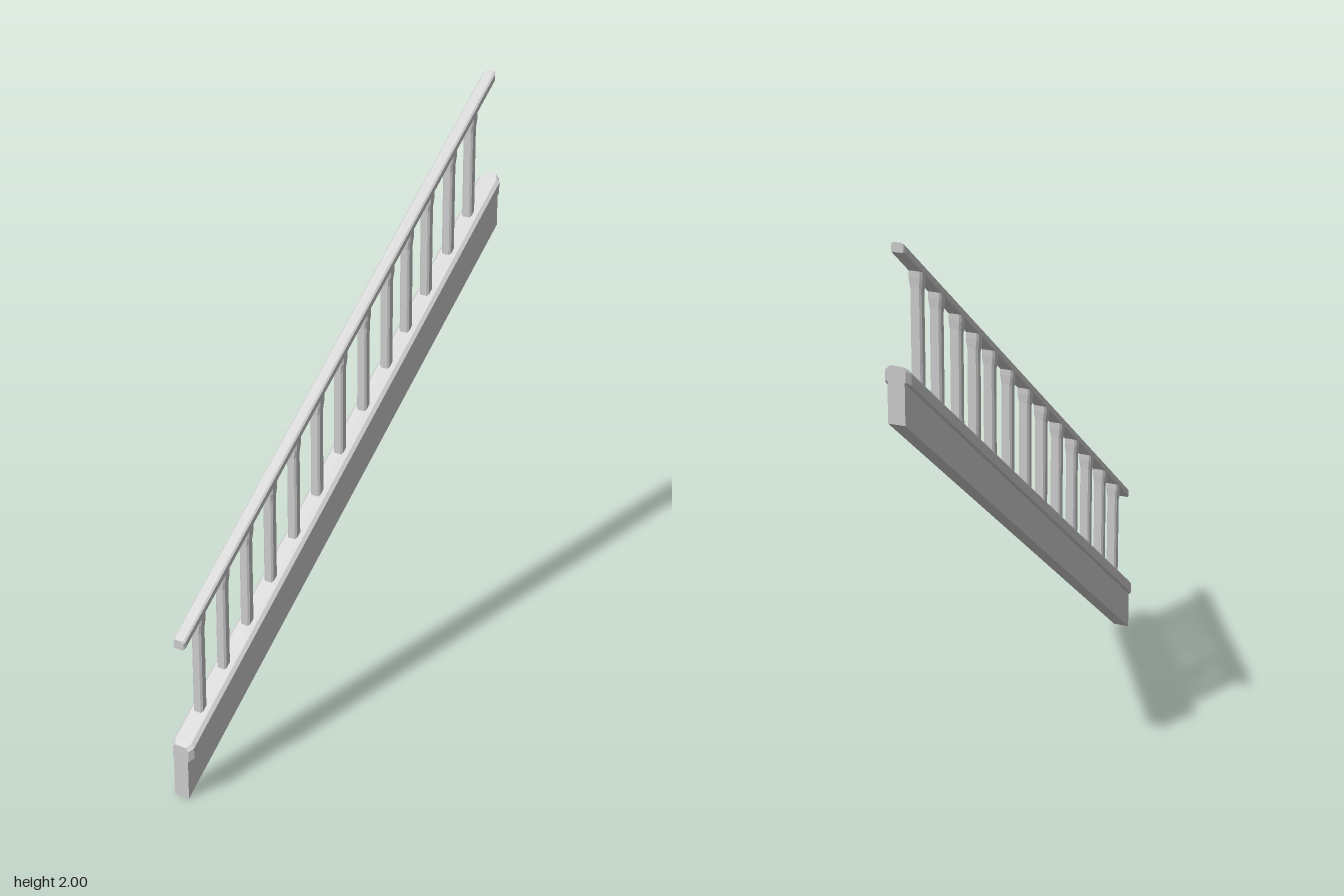
import * as THREE from 'three';

const material = new THREE.MeshStandardMaterial({ color: 0xcccccc, flatShading: true, side: THREE.DoubleSide });

// Rectangle with cut corners, counter-clockwise: half width, bottom, top, bottom cut, top cut
function outline(w, y0, y1, cutBottom, cutTop, cx = 0) {
  return [
    [cx - w + cutBottom, y0], [cx + w - cutBottom, y0],
    [cx + w, y0 + cutBottom], [cx + w, y1 - cutTop],
    [cx + w - cutTop, y1], [cx - w + cutTop, y1],
    [cx - w, y1 - cutTop], [cx - w, y0 + cutBottom],
  ];
}

// Skin between closed sections, running from -z to +z, with flat end caps
function loft(sections) {
  const pos = [];
  const n = sections[0].length;
  for (let s = 0; s < sections.length - 1; s++) {
    const A = sections[s], B = sections[s + 1];
    for (let k = 0; k < n; k++) {
      const m = (k + 1) % n;
      pos.push(...A[k], ...A[m], ...B[k], ...A[m], ...B[m], ...B[k]);
    }
  }
  const first = sections[0], last = sections[sections.length - 1];
  for (let k = 1; k < n - 1; k++) {
    pos.push(...first[0], ...first[k + 1], ...first[k]);
    pos.push(...last[0], ...last[k], ...last[k + 1]);
  }
  const g = new THREE.BufferGeometry();
  g.setAttribute('position', new THREE.Float32BufferAttribute(pos, 3));
  g.computeVertexNormals();
  return g;
}

// Bar climbing towards -z, its end faces narrowed by "inset"
function slopedBar(halfLength, baseY, slope, points, cx, inset, taper) {
  const stations = [[-halfLength, inset], [-halfLength + taper, 0], [halfLength - taper, 0], [halfLength, inset]];
  return loft(stations.map(([z, cut]) => points.map(([x, y]) => [
    x - Math.sign(x - cx) * Math.min(cut, Math.abs(x - cx)),
    y + baseY + slope * (halfLength - z), z,
  ])));
}

export function createModel() {
  const group = new THREE.Group();
  group.name = 'stairRailing';
  const add = (name, geometry) => {
    const mesh = new THREE.Mesh(geometry, material);
    mesh.name = name;
    group.add(mesh);
    return mesh;
  };

  const slope = 0.776, railSlope = 0.787, cx = -0.006;

  // Sloping wall with plumb-cut ends
  add('stringerWall', slopedBar(0.925, 0, slope, outline(0.029, 0, 0.137, 0, 0), 0, 0, 0.02));

  // Wider coping with softened edges
  add('wallCap', slopedBar(0.925, 0.135, slope, outline(0.044, 0, 0.052, 0.003, 0.012), 0, 0.012, 0.015));

  // Slim handrail
  add('handrail', slopedBar(0.912, 0.535, railSlope, outline(0.024, 0, 0.031, 0.004, 0.006, cx), cx, 0.004, 0.008));

  // Balusters: chamfered square posts whose ends follow the slopes
  const positions = [0.81, 0.68, 0.548, 0.415, 0.28, 0.145, 0.01, -0.13, -0.27, -0.39, -0.515, -0.655, -0.785];
  const balusters = new THREE.Group();
  balusters.name = 'balusters';
  group.add(balusters);
  const ring = (z0, hx, hz, height) =>
    outline(hx, -hz, hz, 0.006, 0.006, cx).map(([x, dz]) => [x, height(z0 - dz), z0 - dz]);
  for (const z of positions) {
    const foot = (q) => 0.18 + slope * (0.925 - q);
    const head = (q) => 0.545 + railSlope * (0.912 - q);
    const mesh = add('baluster', loft([
      ring(z, 0.019, 0.015, foot),
      ring(z, 0.019, 0.015, (q) => head(q) - 0.06),
      ring(z, 0.023, 0.017, (q) => head(q) - 0.03),
      ring(z, 0.023, 0.017, head),
    ]));
    balusters.add(mesh);
  }
  return group;
}
